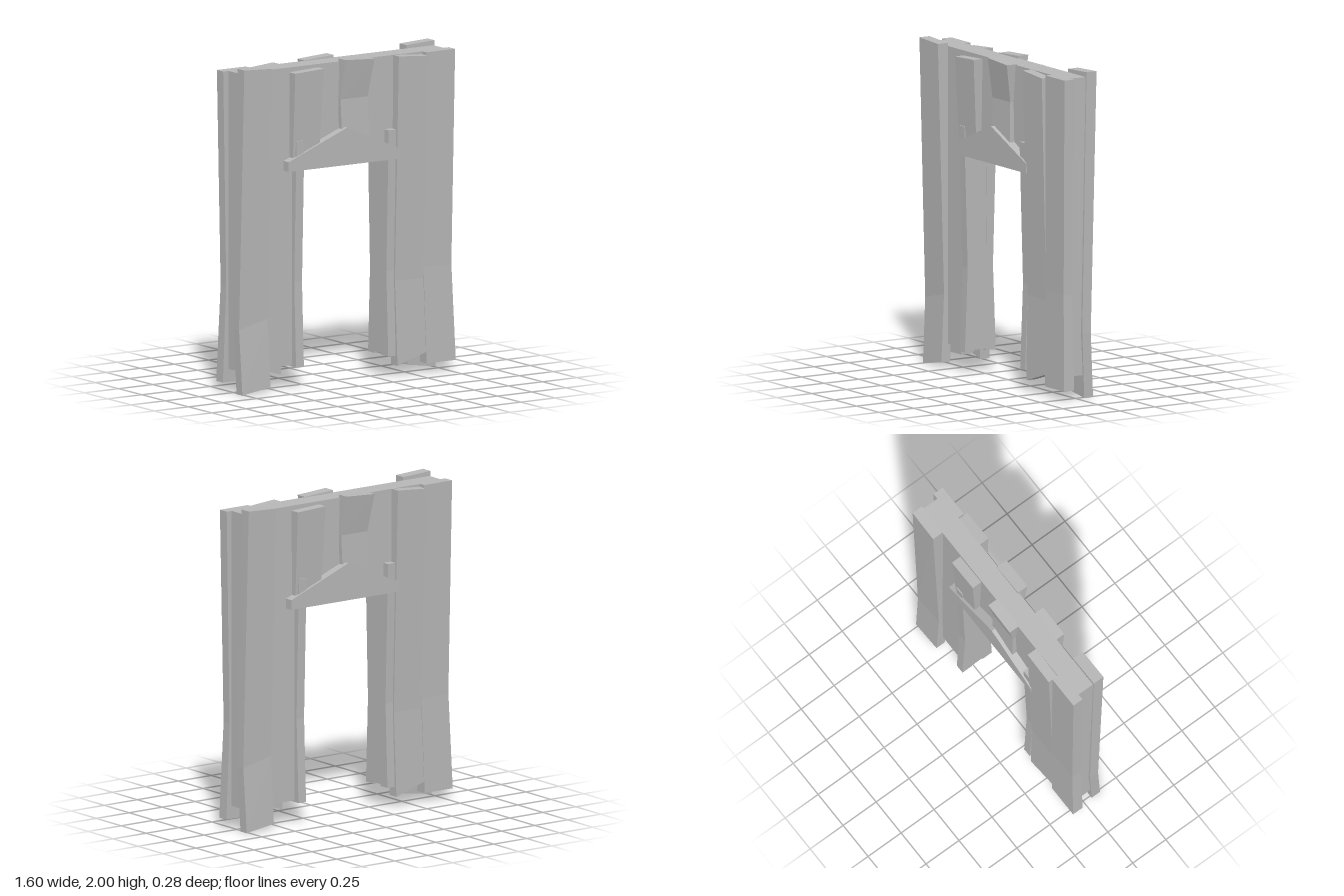
import * as THREE from 'three';

const wood = new THREE.MeshStandardMaterial({ color: 0xb6b6b6 });
wood.name = 'weathered grey';

// Warped board: each row, bottom to top, is [yLeft, yRight, xLeft, xRight, zInner, zOuter]
function board(name, rows) {
  const box = new THREE.BoxGeometry(1, 1, 1, 1, rows.length - 1, 1);
  const p = box.attributes.position;
  for (let i = 0; i < p.count; i++) {
    const r = rows[Math.round((p.getY(i) + 0.5) * (rows.length - 1))];
    const right = p.getX(i) > 0;
    p.setXYZ(i, right ? r[3] : r[2], right ? r[1] : r[0], p.getZ(i) > 0 ? r[5] : r[4]);
  }
  const geo = box.toNonIndexed();
  geo.computeVertexNormals();
  const mesh = new THREE.Mesh(geo, wood);
  mesh.name = name;
  return mesh;
}

// Flat outline given thickness between two depths
function slab(name, points, z0, z1) {
  const shape = new THREE.Shape(points.map(([x, y]) => new THREE.Vector2(x, y)));
  const geo = new THREE.ExtrudeGeometry(shape, { depth: z1 - z0, bevelEnabled: false });
  geo.translate(0, 0, z0);
  const mesh = new THREE.Mesh(geo, wood);
  mesh.name = name;
  return mesh;
}

// Planks, door posts and pediment of one face
function createFace(name) {
  const face = new THREE.Group();
  face.name = name;
  face.add(
    board('tallOuterPlank', [
      [0, 0.03, -0.765, -0.56, 0.055, 0.118],
      [0.4, 0.45, -0.775, -0.565, 0.035, 0.096],
      [2, 1.99, -0.768, -0.562, 0.07, 0.142],
    ]),
    board('shortOuterPlank', [
      [0.06, 0.06, 0.587, 0.8, 0.04, 0.112],
      [0.65, 0.65, 0.572, 0.776, 0.04, 0.1],
      [1.97, 1.97, 0.587, 0.798, 0.04, 0.108],
    ]),
    board('innerPlank', [
      [0.065, 0.13, 0.375, 0.583, 0.04, 0.11],
      [0.59, 0.585, 0.366, 0.575, 0.035, 0.096],
      [1.97, 1.953, 0.37, 0.582, 0.06, 0.132],
    ]),
    board('sideLintelPlank', [
      [1.36, 1.36, -0.385, -0.195, 0.04, 0.1],
      [1.94, 1.95, -0.388, -0.178, 0.06, 0.132],
    ]),
    board('middleLintelPlank', [
      [1.36, 1.36, -0.02, 0.18, 0.04, 0.105],
      [1.74, 1.74, -0.03, 0.168, 0.035, 0.092],
      [1.987, 1.974, -0.022, 0.192, 0.06, 0.132],
    ]),
    slab('pediment', [
      [-0.43, 1.34], [0.39, 1.34], [0.39, 1.4], [0, 1.57], [-0.43, 1.4],
    ], 0.05, 0.123),
  );
  // Door posts beside the opening
  for (const [side, a, b] of [['right', -0.367, -0.31], ['left', 0.307, 0.362]]) {
    face.add(board(side + 'DoorPost', [
      [0.13, 0.13, a, b, 0.04, 0.11],
      [0.65, 0.65, a, b, 0.04, 0.09],
      [1.52, 1.52, a, b, 0.05, 0.115],
    ]));
  }
  return face;
}

export function createModel() {
  const gate = new THREE.Group();
  gate.name = 'plankDoorway';

  // Core wall with door opening
  gate.add(slab('coreWall', [
    [-0.76, 0.14], [-0.31, 0.14], [-0.31, 1.34], [0.31, 1.34],
    [0.31, 0.14], [0.76, 0.14], [0.76, 1.97], [-0.76, 1.97],
  ], -0.068, 0.068));

  // The back repeats the front, turned half around
  const back = createFace('backFace');
  back.rotation.y = Math.PI;
  gate.add(createFace('frontFace'), back);
  return gate;
}
